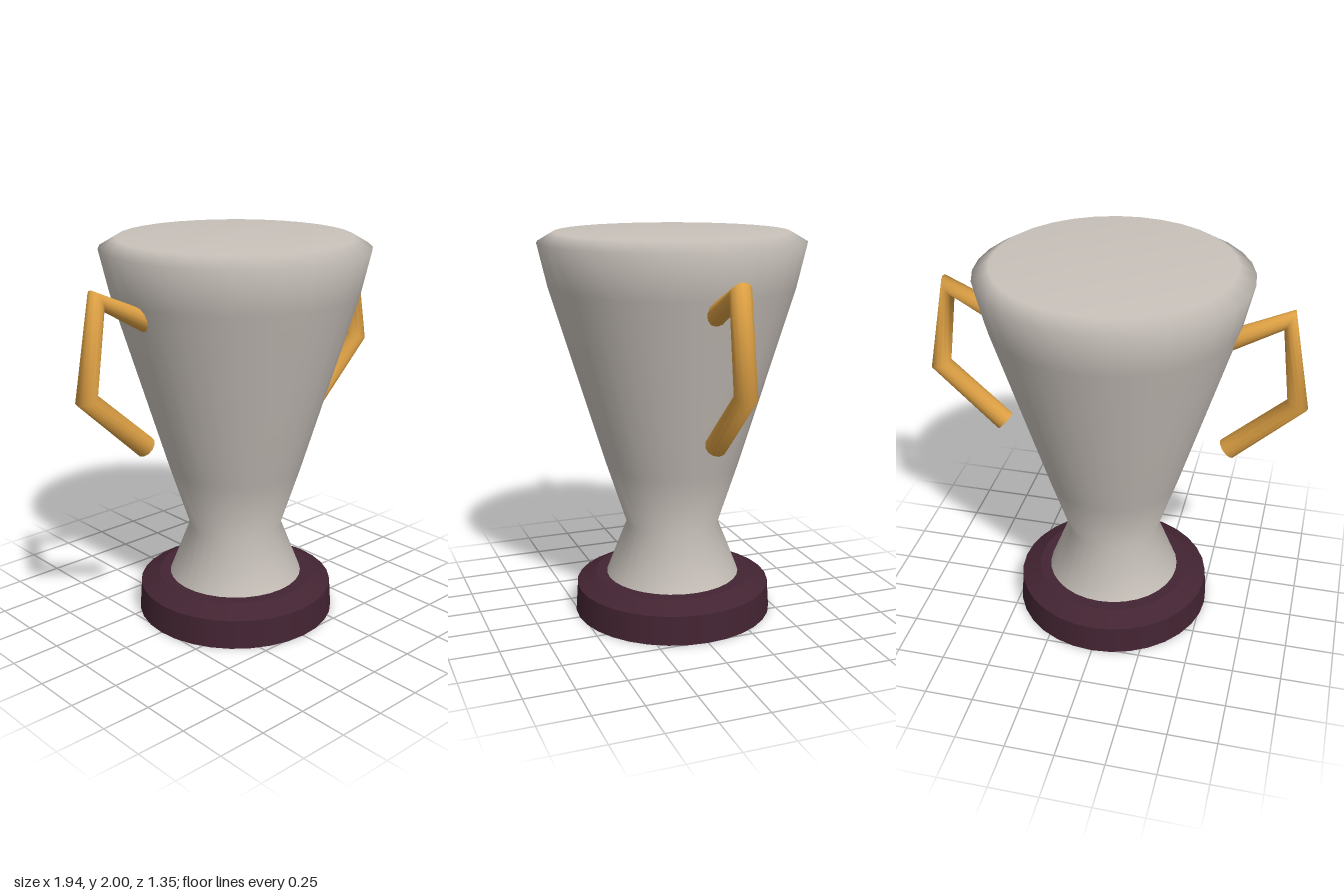
import * as THREE from 'three';

const V2 = (x, y) => new THREE.Vector2(x, y);

// Bent bar lying in the xy plane: one ring of vertices per path point, mitred at corners, capped at both ends
function barGeometry(path, radius, sides) {
  const positions = [], indices = [];
  const last = path.length - 1;
  path.forEach((p, i) => {
    const tangent = V2(0, 0);
    if (i > 0) tangent.add(p.clone().sub(path[i - 1]).normalize());
    if (i < last) tangent.add(path[i + 1].clone().sub(p).normalize());
    tangent.normalize();
    for (let j = 0; j < sides; j++) {
      const a = (j / sides) * Math.PI * 2;
      const r = radius * Math.cos(a);
      positions.push(p.x - tangent.y * r, p.y + tangent.x * r, radius * Math.sin(a));
    }
  });
  for (let i = 0; i < last; i++) {
    for (let j = 0; j < sides; j++) {
      const a = i * sides + j, b = i * sides + (j + 1) % sides;
      indices.push(a, b, a + sides, b, b + sides, a + sides);
    }
  }
  // End caps with their own vertices, so their edges stay sharp
  for (const i of [0, last]) {
    const start = positions.length / 3;
    positions.push(...positions.slice(i * sides * 3, (i + 1) * sides * 3));
    for (let j = 1; j < sides - 1; j++) {
      if (i === 0) indices.push(start, start + j + 1, start + j);
      else indices.push(start, start + j, start + j + 1);
    }
  }
  const geometry = new THREE.BufferGeometry();
  geometry.setAttribute('position', new THREE.Float32BufferAttribute(positions, 3));
  geometry.setIndex(indices);
  geometry.computeVertexNormals();
  return geometry;
}

export function createModel() {
  const material = (name, color) => {
    const m = new THREE.MeshStandardMaterial({ color });
    m.name = name;
    return m;
  };
  const silver = material('silver', 0xc9c2bb);
  const gold = material('gold', 0xdda044);
  const maroon = material('maroon', 0x432432);
  silver.side = gold.side = THREE.DoubleSide;

  const model = new THREE.Group();
  model.name = 'trophy';
  const add = (name, geometry, mat, parent = model, y = 0) => {
    const mesh = new THREE.Mesh(geometry, mat);
    mesh.name = name;
    mesh.position.y = y;
    parent.add(mesh);
    return mesh;
  };

  // Plinth: slightly tapered drum with a chamfered top
  const plinth = new THREE.Group();
  plinth.name = 'plinth';
  model.add(plinth);
  add('plinthDrum', new THREE.CylinderGeometry(0.51, 0.52, 0.15, 32), maroon, plinth, 0.075);
  add('plinthChamfer', new THREE.CylinderGeometry(0.41, 0.51, 0.05, 32), maroon, plinth, 0.175);

  // Cup: flared foot, narrow waist, wide bowl and closed top
  const profile = [
    V2(0.355, 0.19), V2(0.242, 0.48), V2(0.345, 0.8),
    V2(0.625, 1.73), V2(0.675, 1.95), V2(0.59, 2), V2(0, 2),
  ];
  add('cup', new THREE.LatheGeometry(profile, 32), silver);

  // Handles: the same angular bar on both sides
  const path = [V2(0.5, 1.62), V2(0.845, 1.795), V2(0.92, 1.345), V2(0.59, 1.04)];
  const handle = barGeometry(path, 0.055, 12);
  add('leftHandle', handle, gold);
  add('rightHandle', handle, gold).rotation.y = Math.PI;

  return model;
}
